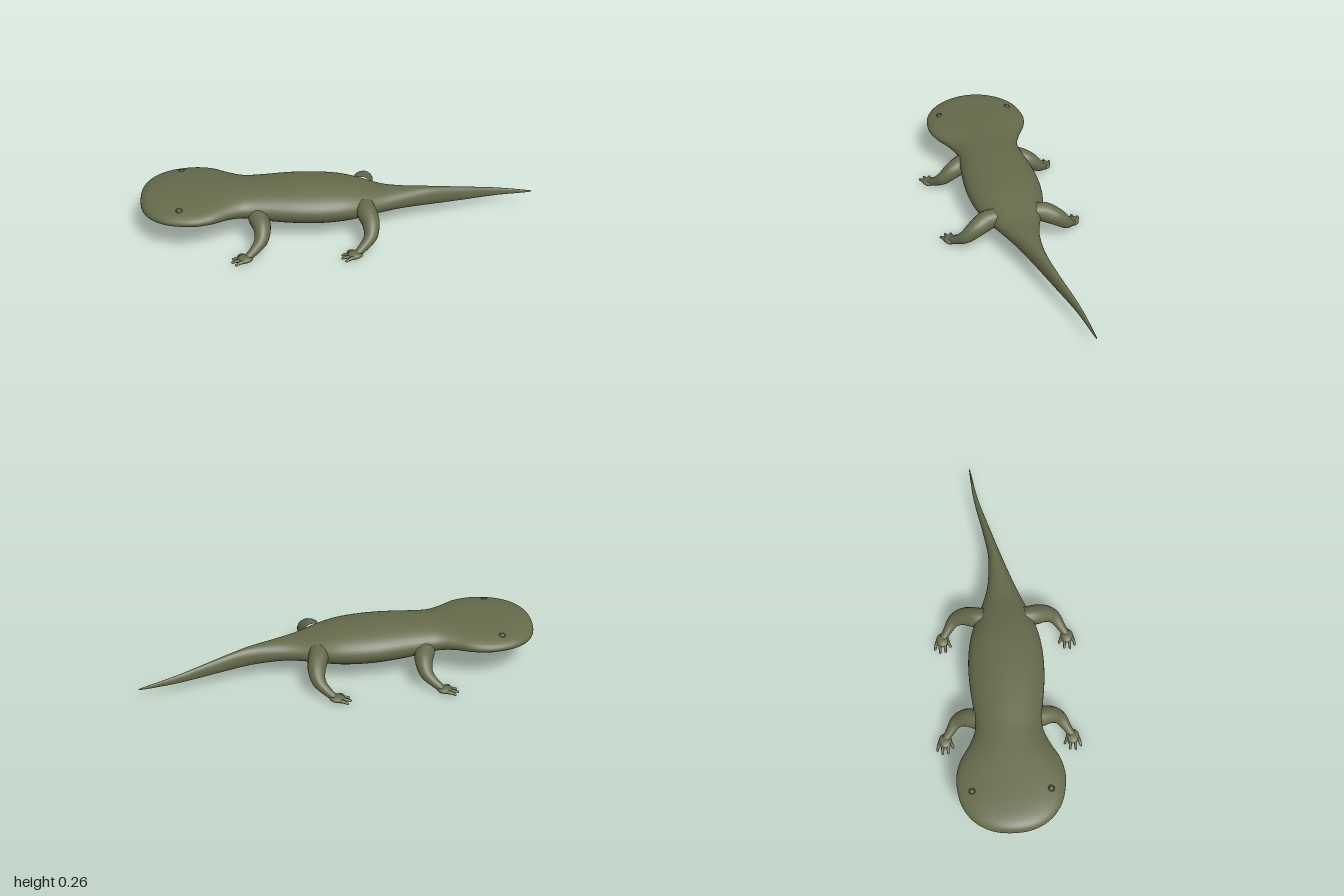
import * as THREE from 'three';
import { mergeVertices } from 'three/addons/utils/BufferGeometryUtils.js';
import { ParametricGeometry } from 'three/addons/geometries/ParametricGeometry.js';

const skin = new THREE.MeshStandardMaterial({ color: 0x656a4b });
skin.name = 'olive skin';

// Smooth interpolation through rows of numbers
function sample(rows, t) {
  const f = t * (rows.length - 1);
  const i = Math.min(Math.floor(f), rows.length - 2);
  const k = f - i;
  const at = (n) => rows[Math.max(0, Math.min(rows.length - 1, n))];
  return rows[i].map((b, c) => {
    const a = at(i - 1)[c], d = at(i + 1)[c], e = at(i + 2)[c];
    return b + 0.5 * k * (d - a + k * (2 * a - 5 * b + 4 * d - e + k * (3 * (b - d) + e - a)));
  });
}

function addMesh(parent, geometry, name) {
  const mesh = new THREE.Mesh(geometry, skin);
  mesh.name = name;
  parent.add(mesh);
  return mesh;
}

// Head, trunk and tail: x, half width, bottom, top, sideways offset
function bodyGeometry() {
  const rows = [
    [-1, 0.001, 0.179, 0.181, 0],
    [-0.993, 0.075, 0.156, 0.208, 0],
    [-0.97, 0.14, 0.142, 0.226, 0],
    [-0.93, 0.195, 0.134, 0.236, 0],
    [-0.87, 0.237, 0.13, 0.242, 0],
    [-0.8, 0.258, 0.128, 0.245, 0],
    [-0.72, 0.263, 0.126, 0.247, 0],
    [-0.64, 0.242, 0.124, 0.249, 0],
    [-0.56, 0.195, 0.116, 0.25, 0],
    [-0.48, 0.165, 0.1, 0.251, 0],
    [-0.38, 0.17, 0.079, 0.256, 0],
    [-0.25, 0.185, 0.066, 0.259, 0],
    [-0.12, 0.188, 0.06, 0.256, 0],
    [0, 0.173, 0.062, 0.246, 0],
    [0.1, 0.142, 0.071, 0.225, 0],
    [0.2, 0.1, 0.08, 0.2, -0.002],
    [0.3, 0.066, 0.081, 0.19, -0.01],
    [0.45, 0.035, 0.075, 0.175, -0.033],
    [0.6, 0.022, 0.066, 0.145, -0.069],
    [0.8, 0.012, 0.056, 0.101, -0.12],
    [0.97, 0.004, 0.05, 0.064, -0.146],
    [1, 0.0005, 0.053, 0.056, -0.149],
  ];
  const g = new ParametricGeometry((u, v, p) => {
    const [x, w, lo, hi, z] = sample(rows, v);
    const a = (u % 1) * Math.PI * 2;
    p.set(x, (lo + hi) / 2 + (hi - lo) / 2 * Math.cos(a), z + w * Math.sin(a));
  }, 48, 110);
  g.deleteAttribute('uv');
  g.deleteAttribute('normal');
  const body = mergeVertices(g, 1e-5);
  body.computeVertexNormals();
  return body;
}

// Tube whose radius follows a list of values
function taperedTube(points, radii, steps, sides) {
  const curve = new THREE.CatmullRomCurve3(points.map((p) => new THREE.Vector3(...p)));
  const g = new THREE.TubeGeometry(curve, steps, 1, sides);
  const pos = g.attributes.position;
  const p = new THREE.Vector3();
  for (let i = 0; i < pos.count; i++) {
    const t = Math.floor(i / (sides + 1)) / steps;
    const c = curve.getPointAt(t);
    const [r] = sample(radii.map((n) => [n]), t);
    p.fromBufferAttribute(pos, i).sub(c).multiplyScalar(r).add(c);
    pos.setXYZ(i, p.x, p.y, p.z);
  }
  return g;
}

function leg(name, x, hipY, side) {
  const group = new THREE.Group();
  group.name = name;
  const at = (px, y, z) => [x + px, y, z * side];

  addMesh(group, taperedTube([
    at(-0.005, hipY, 0.1), at(0, hipY - 0.005, 0.145), at(0.017, 0.124, 0.205),
    at(0.012, 0.08, 0.256), at(-0.025, 0.042, 0.29), at(-0.055, 0.021, 0.313),
  ], [0.046, 0.05, 0.044, 0.035, 0.025, 0.019], 24, 16), 'limb');

  const palm = addMesh(group, new THREE.SphereGeometry(1, 16, 12), 'palm');
  palm.scale.set(0.038, 0.016, 0.033);
  palm.position.set(...at(-0.068, 0.018, 0.318));

  // Four short spread toes: tip x and z
  for (const [tx, tz] of [[-0.1, 0.278], [-0.128, 0.304], [-0.131, 0.332], [-0.113, 0.357]]) {
    const rootZ = 0.318 + (tz - 0.318) * 0.5;
    addMesh(group, taperedTube([
      at(-0.062, 0.016, rootZ), at(-0.092, 0.016, (rootZ + tz) / 2 + (tz - 0.318) * 0.1), at(tx, 0.007, tz),
    ], [0.011, 0.009, 0.006], 8, 8), 'toe');
    const tip = addMesh(group, new THREE.SphereGeometry(0.0065, 8, 6), 'toeTip');
    tip.position.set(...at(tx, 0.0066, tz));
  }
  return group;
}

// Small raised eye with a lid ring
function eye(name, side) {
  const group = new THREE.Group();
  group.name = name;
  addMesh(group, new THREE.SphereGeometry(0.011, 14, 10), 'eyeball').scale.y = 0.5;
  const lid = addMesh(group, new THREE.TorusGeometry(0.014, 0.003, 8, 20), 'eyelid');
  lid.rotation.x = Math.PI / 2;
  group.position.set(-0.8, 0.226, 0.19 * side);
  group.rotation.x = 0.25 * side;
  return group;
}

export function createModel() {
  const model = new THREE.Group();
  model.name = 'salamander';
  addMesh(model, bodyGeometry(), 'body');
  for (const [label, side] of [['near', 1], ['far', -1]]) {
    model.add(leg(label + 'ForeLeg', -0.42, 0.15, side));
    model.add(leg(label + 'HindLeg', 0.115, 0.157, side));
    model.add(eye(label + 'Eye', side));
  }
  return model;
}
